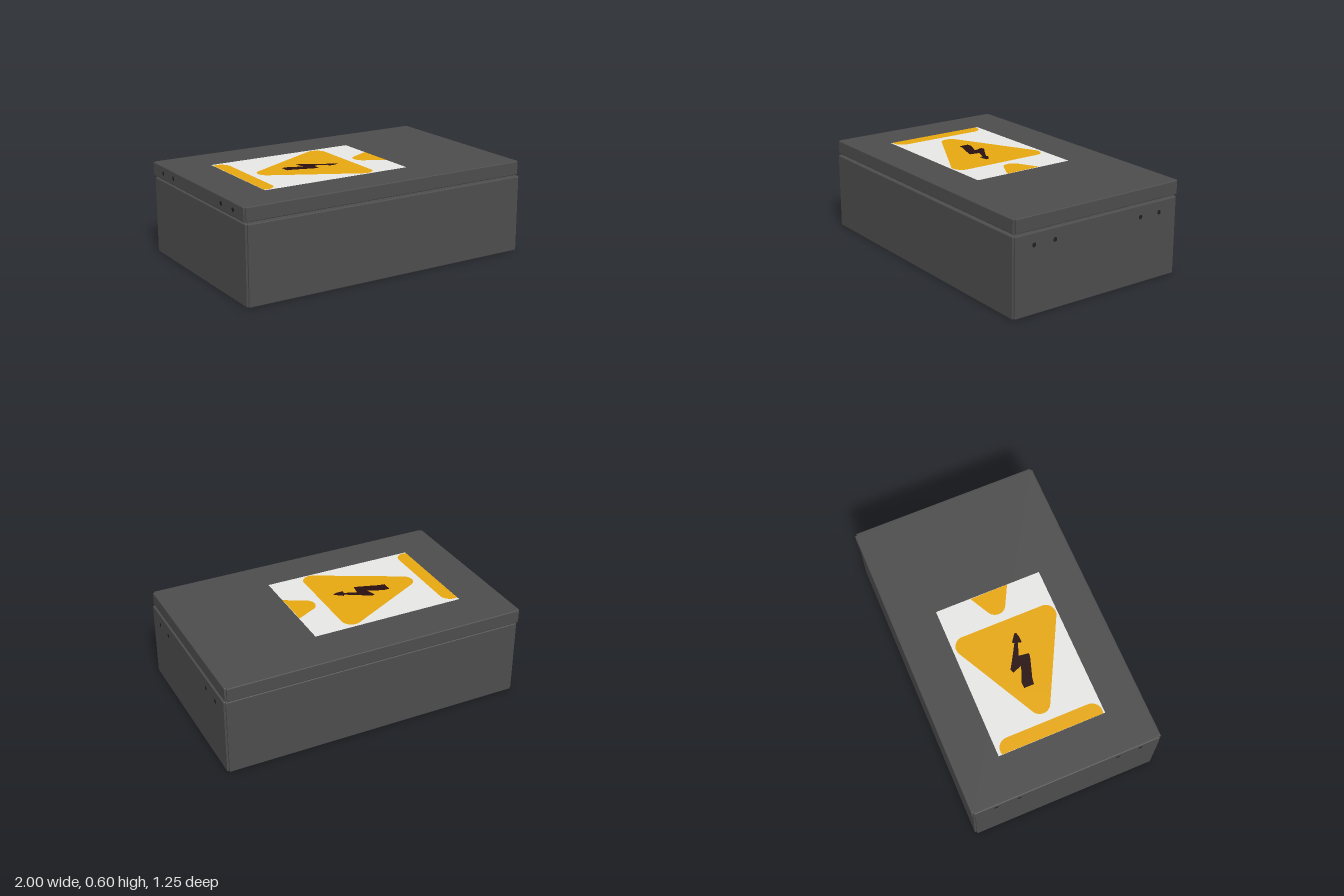
import * as THREE from 'three';

const mat = (name, color, side = THREE.FrontSide) => {
  const m = new THREE.MeshStandardMaterial({ color, side });
  m.name = name;
  return m;
};

export function createModel() {
  const group = new THREE.Group();
  const steel = mat('dark grey steel', 0x4d4d4d);
  const shadow = mat('hole black', 0x202020);
  const white = mat('label white', 0xf0f0ee);
  const yellow = mat('warning yellow', 0xf0ae12);
  const ink = mat('bolt black', 0x28100f);

  const add = (name, geometry, material, parent = group) => {
    const mesh = new THREE.Mesh(geometry, material);
    mesh.name = name;
    parent.add(mesh);
    return mesh;
  };

  // Folded sheet tray: rectangle with small corner slits, softened top and bottom edges
  const tray = (name, x0, x1, y0, y1, z0, z1) => {
    const b = 0.006, n = 0.012;
    const w = (x1 - x0) / 2 - b, d = (z1 - z0) / 2 - b;
    const corners = [
      [w, -d + n], [w, d - n], [w - n, d - n], [w - n, d],
      [-w + n, d], [-w + n, d - n], [-w, d - n], [-w, -d + n],
      [-w + n, -d + n], [-w + n, -d], [w - n, -d], [w - n, -d + n],
    ];
    const shape = new THREE.Shape(corners.map(([x, y]) => new THREE.Vector2(x, y)));
    const g = new THREE.ExtrudeGeometry(shape, {
      depth: y1 - y0 - 2 * b, bevelThickness: b, bevelSize: b, bevelSegments: 3,
    });
    g.rotateX(-Math.PI / 2);
    g.translate((x0 + x1) / 2, y0 + b, (z0 + z1) / 2);
    return add(name, g, steel);
  };

  tray('body', -0.995, 1, 0, 0.5, -0.617, 0.625);
  tray('lid', -1, 0.995, 0.51, 0.6, -0.627, 0.617);

  // Seal that holds the lid just clear of the body
  const seal = add('seal', new THREE.BoxGeometry(1.77, 0.03, 1.013), steel);
  seal.position.set(0.003, 0.505, 0.003);

  // Round holes: in the body on one end, in the lid on the other
  const holes = new THREE.Group();
  holes.name = 'mountingHoles';
  group.add(holes);
  const disc = new THREE.CircleGeometry(0.014, 24);
  for (const z of [0.48, 0.33, -0.32, -0.47]) {
    const right = add('bodyHole', disc, shadow, holes);
    right.position.set(1.0008, 0.426, z);
    right.rotation.y = Math.PI / 2;
    const left = add('lidHole', disc, shadow, holes);
    left.position.set(-1.0008, 0.555, z);
    left.rotation.y = -Math.PI / 2;
  }

  // Warning label: flat layers on the lid, outlines given as [x, z]
  const label = new THREE.Group();
  label.name = 'warningLabel';
  group.add(label);
  const X0 = -0.727, X1 = 0.289;
  const layer = (name, points, y, material) => {
    const g = new THREE.ShapeGeometry(
      new THREE.Shape(points.map(([x, z]) => new THREE.Vector2(x, -z))));
    g.rotateX(-Math.PI / 2);
    g.translate(0, y, 0);
    add(name, g, material, label);
  };
  layer('labelSheet', [[X0, 0.364], [X1, 0.364], [X1, -0.342], [X0, -0.342]], 0.601, white);

  // Rounded triangle pointing to -x, repeated along the label and cut at its ends
  const r = 0.066, tilt = Math.atan2(0.272, 0.521);
  const outline = new THREE.Shape();
  outline.absarc(0.003, 0.288, r, 0, Math.PI / 2 + tilt, false);
  outline.absarc(-0.518, 0.017, r, Math.PI / 2 + tilt, Math.PI * 1.5 - tilt, false);
  outline.absarc(0.003, -0.255, r, Math.PI * 1.5 - tilt, Math.PI * 2, false);
  outline.closePath();
  const points = outline.getSpacedPoints(500).slice(0, -1);
  for (const shift of [-0.706, 0, 0.706]) {
    const cut = points.map((p) => [p.x + shift, p.y]).filter(([x]) => x >= X0 && x <= X1);
    layer('warningTriangle', cut, 0.602, yellow);
  }

  // Lightning arrow
  layer('lightningBolt', [
    [-0.39, -0.03], [-0.35, -0.03], [-0.25, 0.01], [-0.272, -0.053], [-0.246, -0.06],
    [-0.195, -0.028], [-0.096, 0.03], [-0.086, 0.018], [-0.036, 0.055], [-0.036, 0.066],
    [-0.064, 0.075], [-0.107, 0.075], [-0.102, 0.052], [-0.182, 0.022], [-0.192, 0.088],
    [-0.22, 0.084], [-0.35, 0.042], [-0.39, 0.036],
  ], 0.603, ink);

  return group;
}
